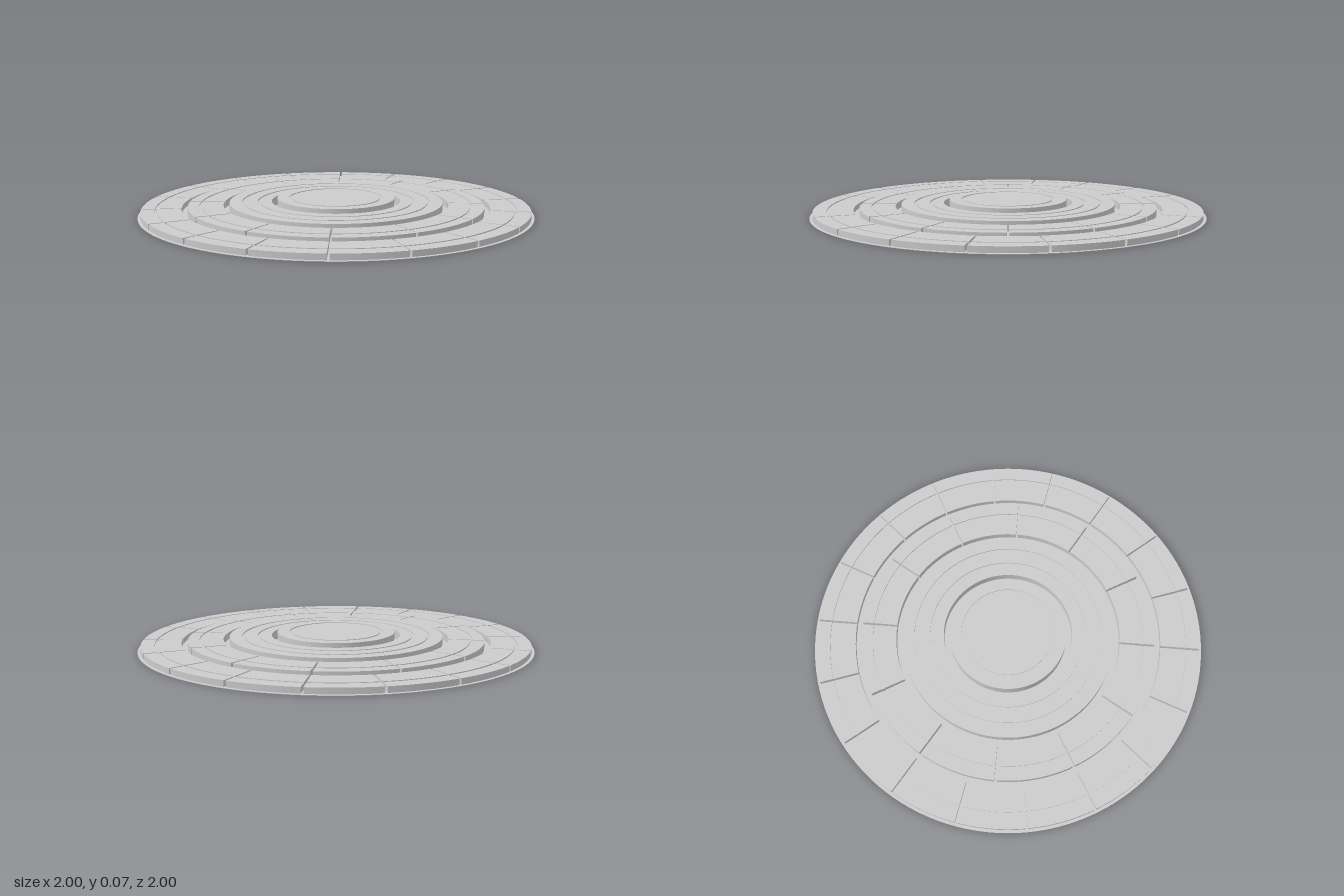
import * as THREE from 'three';
import { mergeGeometries, toCreasedNormals } from 'three/addons/utils/BufferGeometryUtils.js';

const TAU = Math.PI * 2;
const GAP = 0.01;      // width of the joints between segments
const GROOVE = 0.012;  // width of the engraved circles
const DEPTH = 0.006;   // depth of the engraved circles

const material = new THREE.MeshStandardMaterial({ color: 0xcccccc });

// Closed cross-section of a ring, anticlockwise, with grooves cut in its top
function ringProfile(inner, outer, height, grooves = []) {
  const points = [[inner, 0], [outer, 0], [outer, height]];
  for (const r of [...grooves].sort((a, b) => b - a)) {
    const a = r + GROOVE / 2, b = r - GROOVE / 2;
    points.push([a, height], [a, height - DEPTH], [b, height - DEPTH], [b, height]);
  }
  points.push([inner, height]);
  return points.map(([x, y]) => new THREE.Vector2(x, y));
}

// Sweep a closed cross-section around y, capping the ends of a partial sweep
function sweep(profile, steps, start = 0, length = TAU) {
  const parts = [new THREE.LatheGeometry([...profile, profile[0]], steps, start, length)];
  if (length < TAU) {
    for (const [angle, flip] of [[start, false], [start + length, true]]) {
      const cap = new THREE.ShapeGeometry(new THREE.Shape(profile));
      if (flip) cap.index.array.reverse();
      parts.push(cap.rotateY(angle - Math.PI / 2));
    }
  }
  return toCreasedNormals(mergeGeometries(parts), 0.5);
}

function addMesh(parent, name, geometry) {
  const mesh = new THREE.Mesh(geometry, material);
  mesh.name = name;
  parent.add(mesh);
  return mesh;
}

// Ring divided into equal segments by narrow radial joints
function segmentedRing(name, inner, outer, height, groove, count) {
  const group = new THREE.Group();
  group.name = name;
  const pitch = TAU / count;
  const joint = GAP / ((inner + outer) / 2);
  const geometry = sweep(ringProfile(inner, outer, height, [groove]), 12, joint / 2, pitch - joint);
  for (let i = 0; i < count; i++) {
    // joints fall on the x axis
    addMesh(group, name + 'Segment', geometry).rotation.y = Math.PI / 2 + i * pitch;
  }
  return group;
}

export function createModel() {
  const model = new THREE.Group();
  model.name = 'steppedDisc';

  // Thin base plate, open under the hub
  addMesh(model, 'basePlate', sweep(ringProfile(0.27, 1, 0.002), 128));

  // Stepped tiers, rising towards the centre
  model.add(segmentedRing('outerRing', 0.785, 0.985, 0.03, 0.91, 18));
  model.add(segmentedRing('middleRing', 0.575, 0.755, 0.039, 0.69, 12));
  addMesh(model, 'innerRing', sweep(ringProfile(0.33, 0.545, 0.05, [0.395, 0.475]), 128));

  // Raised hub: a hollow cap with an engraved circle
  const top = 0.066, ceiling = 0.058;
  const hub = [
    [0, ceiling], [0.27, ceiling], [0.27, 0], [0.3, 0], [0.3, top],
    [0.24, top], [0.24, top - 0.005], [0.226, top - 0.005], [0.226, top], [0, top],
  ].map(([x, y]) => new THREE.Vector2(x, y));
  addMesh(model, 'hub', toCreasedNormals(new THREE.LatheGeometry(hub, 96), 0.5));

  return model;
}
